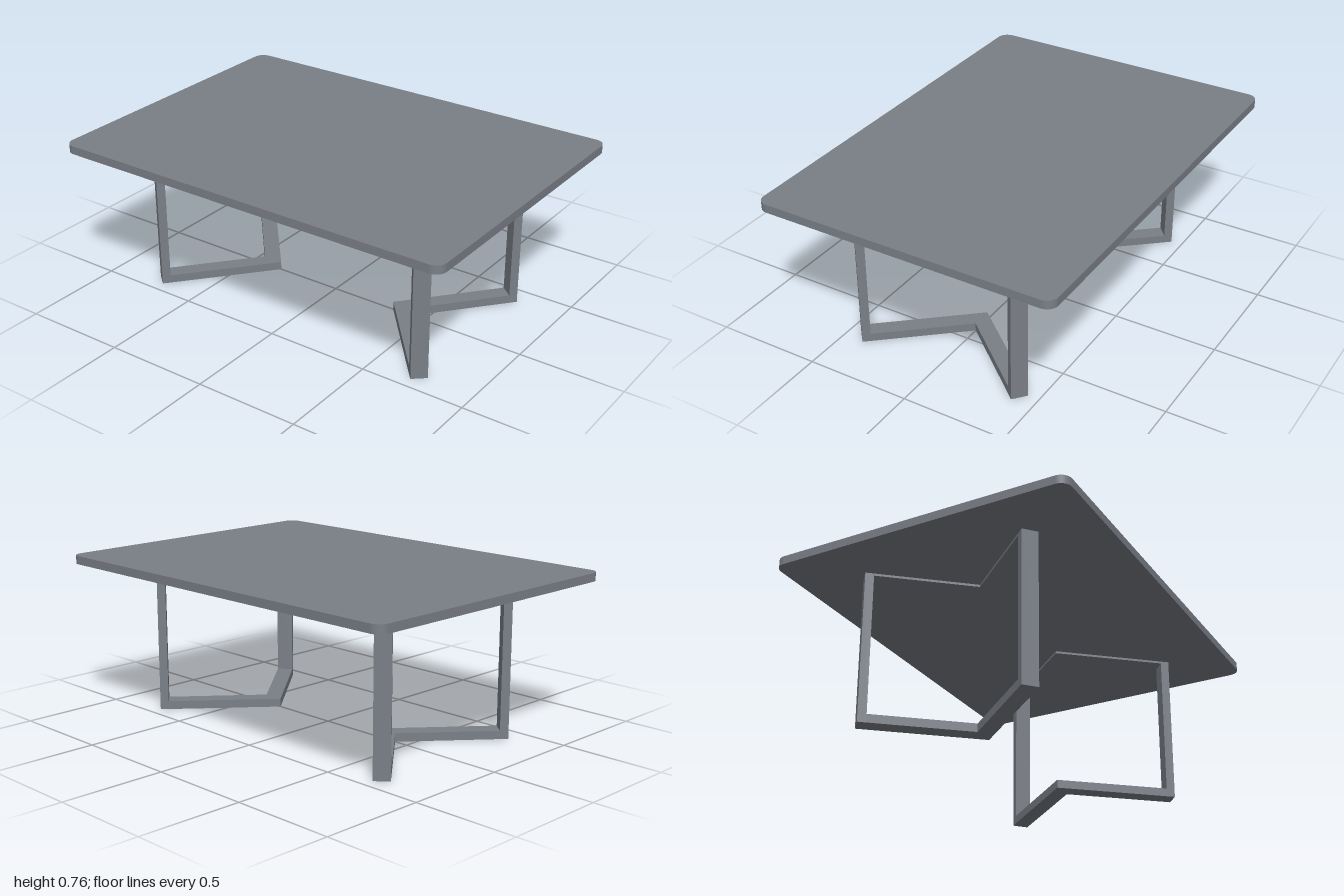
import * as THREE from 'three';

const material = new THREE.MeshStandardMaterial({ color: 0x7a7f87 });
const UNDERSIDE = 0.725;

// Extrude a plan outline (x, z) between two heights
function slab(name, shape, bottom, top) {
  const geometry = new THREE.ExtrudeGeometry(shape, { depth: top - bottom, bevelEnabled: false, curveSegments: 8 });
  geometry.rotateX(Math.PI / 2).translate(0, top, 0);
  const mesh = new THREE.Mesh(geometry, material);
  mesh.name = name;
  return mesh;
}

const outline = (points) => new THREE.Shape(points.map(([x, z]) => new THREE.Vector2(x, z)));

function roundedRect(halfX, halfZ, r) {
  const s = new THREE.Shape();
  s.absarc(halfX - r, halfZ - r, r, 0, Math.PI / 2);
  s.absarc(r - halfX, halfZ - r, r, Math.PI / 2, Math.PI);
  s.absarc(r - halfX, r - halfZ, r, Math.PI, Math.PI * 1.5);
  s.absarc(halfX - r, r - halfZ, r, Math.PI * 1.5, Math.PI * 2);
  s.closePath();
  return s;
}

// V-shaped frame: apex towards the table centre, open end outwards
function legFrame(name) {
  const frame = new THREE.Group();
  frame.name = name;
  const chevron = outline([
    [0, 0.33], [0.415, 0.684], [0.365, 0.742], [0, 0.431], [-0.365, 0.742], [-0.415, 0.684],
  ]);
  frame.add(slab('floorBar', chevron, 0, 0.04));
  frame.add(slab('topPlate', chevron, 0.714, UNDERSIDE));

  // Flat upright posts at both ends of the V
  for (const side of [1, -1]) {
    const corners = [[0.415, 0.684], [0.445, 0.71], [0.395, 0.768], [0.365, 0.742]];
    const post = outline(corners.map(([x, z]) => [side * x, z]));
    frame.add(slab(side > 0 ? 'leftPost' : 'rightPost', post, 0, UNDERSIDE));
  }
  return frame;
}

export function createModel() {
  const table = new THREE.Group();
  table.name = 'table';
  table.add(slab('tabletop', roundedRect(0.722, 1, 0.052), UNDERSIDE, 0.765));

  const front = legFrame('frontLegFrame');
  const back = legFrame('backLegFrame');
  back.rotation.y = Math.PI;
  table.add(front, back);
  return table;
}
